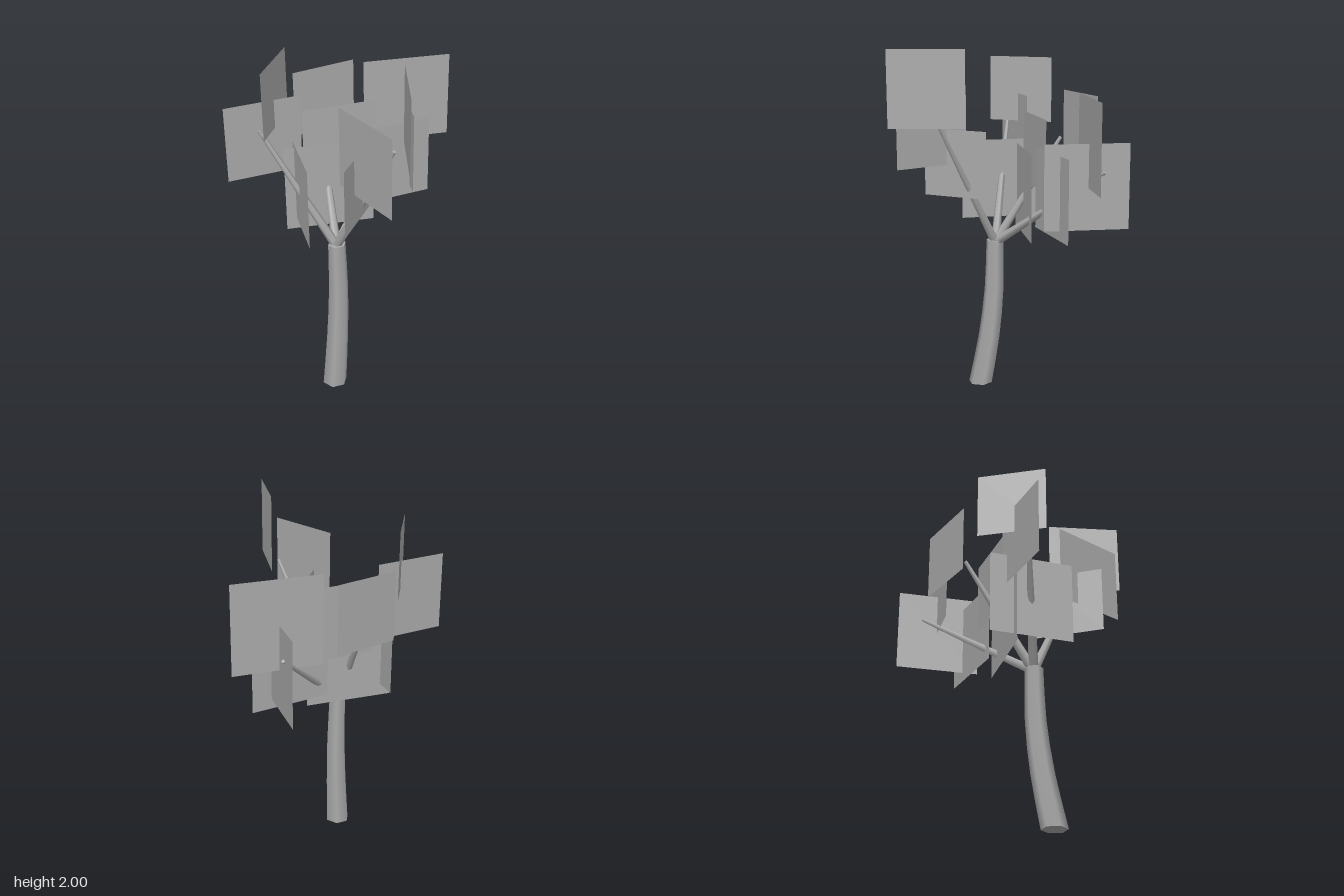
import * as THREE from 'three';

export function createModel() {
  const tree = new THREE.Group();
  tree.name = 'tree';
  const grey = new THREE.MeshStandardMaterial({ color: 0xaaaaaa, side: THREE.DoubleSide });
  grey.name = 'plain grey';

  const add = (geometry, name, parent = tree) => {
    const mesh = new THREE.Mesh(geometry, grey);
    mesh.name = name;
    parent.add(mesh);
    return mesh;
  };

  // Trunk: tapered hexagonal column, bent along a curve
  const height = 0.885;
  const bend = new THREE.CatmullRomCurve3([
    new THREE.Vector3(-0.337, 0, -0.057),
    new THREE.Vector3(-0.283, 0.295, -0.077),
    new THREE.Vector3(-0.252, 0.59, -0.09),
    new THREE.Vector3(-0.25, height, -0.097),
  ]);
  const trunk = new THREE.CylinderGeometry(0.05, 0.07, height, 6, 6);
  const p = trunk.attributes.position;
  for (let i = 0; i < p.count; i++) {
    const c = bend.getPoint(THREE.MathUtils.clamp(p.getY(i) / height + 0.5, 0, 1));
    p.setXYZ(i, p.getX(i) + c.x, c.y, p.getZ(i) + c.z);
  }
  add(trunk, 'trunk');

  // Branches: thin tapered limbs from the trunk top to each tip
  const branches = new THREE.Group();
  branches.name = 'branches';
  tree.add(branches);
  const fork = new THREE.Vector3(-0.25, 0.87, -0.1);
  const up = new THREE.Vector3(0, 1, 0);
  const tips = [
    [-0.268, 1.6, 0.32],
    [0.46, 1.355, -0.213],
    [-0.025, 1.475, -0.41],
    [-0.465, 1.55, -0.43],
  ];
  for (const tip of tips) {
    const end = new THREE.Vector3(...tip);
    const dir = end.clone().sub(fork);
    const limb = add(new THREE.CylinderGeometry(0.01, 0.027, dir.length(), 6), 'branch', branches);
    limb.position.copy(fork).add(end).multiplyScalar(0.5);
    limb.quaternion.setFromUnitVectors(up, dir.normalize());
  }

  // Leaf cards: upright squares, each [x1, z1, x2, z2, bottom, top]
  const foliage = new THREE.Group();
  foliage.name = 'foliage';
  tree.add(foliage);
  const cards = [
    // around the front branch
    [-0.42, 0.54, -0.115, 0.257, 1.58, 2.0],
    [-0.45, 0.455, -0.35, 0.028, 1.34, 1.78],
    [-0.51, 0.2, -0.15, 0.07, 1.16, 1.54],
    // around the long side branch
    [0.21, -0.29, 0.605, 0, 1.27, 1.755],
    [0.25, 0.037, 0.54, -0.325, 1.04, 1.51],
    [-0.01, -0.18, 0.408, 0.02, 0.985, 1.445],
    // around the back branch
    [-0.105, -0.525, 0.25, -0.4, 1.35, 1.728],
    [-0.24, -0.335, 0.113, -0.13, 1.2, 1.61],
    [-0.35, -0.375, 0.047, -0.085, 0.915, 1.415],
    // around the back corner branch
    [-0.52, -0.34, -0.18, -0.5, 1.535, 1.91],
    [-0.61, -0.535, -0.235, -0.35, 1.27, 1.695],
    [-0.49, -0.07, -0.23, -0.45, 0.98, 1.44],
  ];
  for (const [x1, z1, x2, z2, low, top] of cards) {
    const width = Math.hypot(x2 - x1, z2 - z1);
    const card = add(new THREE.PlaneGeometry(width, top - low), 'leafCard', foliage);
    card.position.set((x1 + x2) / 2, (low + top) / 2, (z1 + z2) / 2);
    card.rotation.y = -Math.atan2(z2 - z1, x2 - x1);
  }

  return tree;
}
